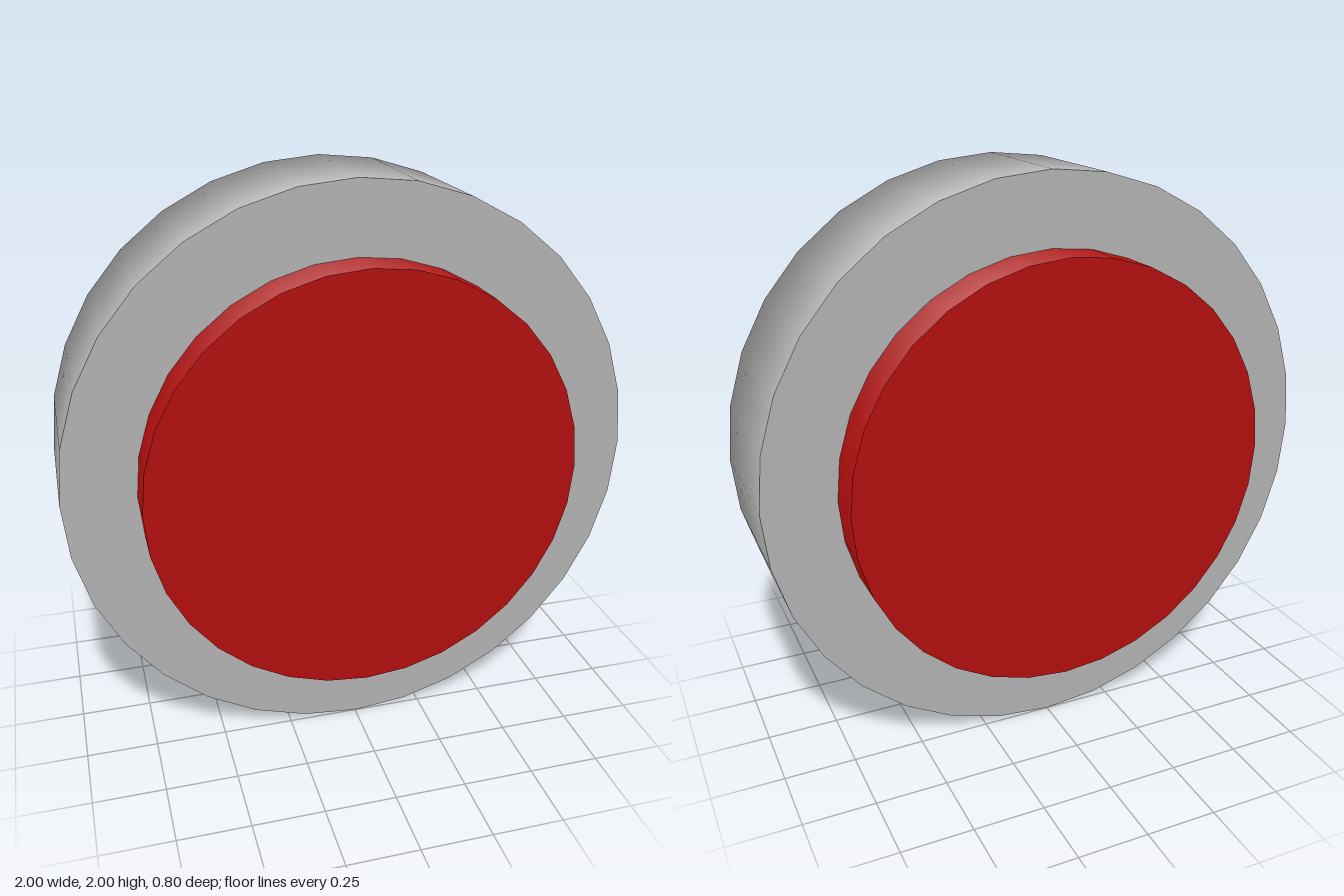
import * as THREE from 'three';

const SIDES = 32;

// Disc facing +z: flat caps, side shading rolled softly towards both rims
function disc(name, radius, depth, material) {
  const geometry = new THREE.CylinderGeometry(radius, radius, depth, SIDES);
  const { position, normal } = geometry.attributes;
  const n = new THREE.Vector3();
  for (let i = 0; i < position.count; i++) {
    n.fromBufferAttribute(normal, i);
    if (Math.abs(n.y) > 0.5) continue; // caps stay flat
    n.y = Math.sign(position.getY(i));
    n.normalize();
    normal.setXYZ(i, n.x, n.y, n.z);
  }
  geometry.rotateX(Math.PI / 2);
  const mesh = new THREE.Mesh(geometry, material);
  mesh.name = name;
  mesh.position.y = 1;
  return mesh;
}

export function createModel() {
  const grey = new THREE.MeshStandardMaterial({ color: 0xb0b0b0 });
  grey.name = 'grey';
  const red = new THREE.MeshStandardMaterial({ color: 0xb00e0e });
  red.name = 'red';

  const group = new THREE.Group();
  group.name = 'button';
  // Wide outer rim, with the hub standing out of both faces
  group.add(disc('rim', 1, 0.5, grey), disc('hub', 0.75, 0.8, red));
  return group;
}
